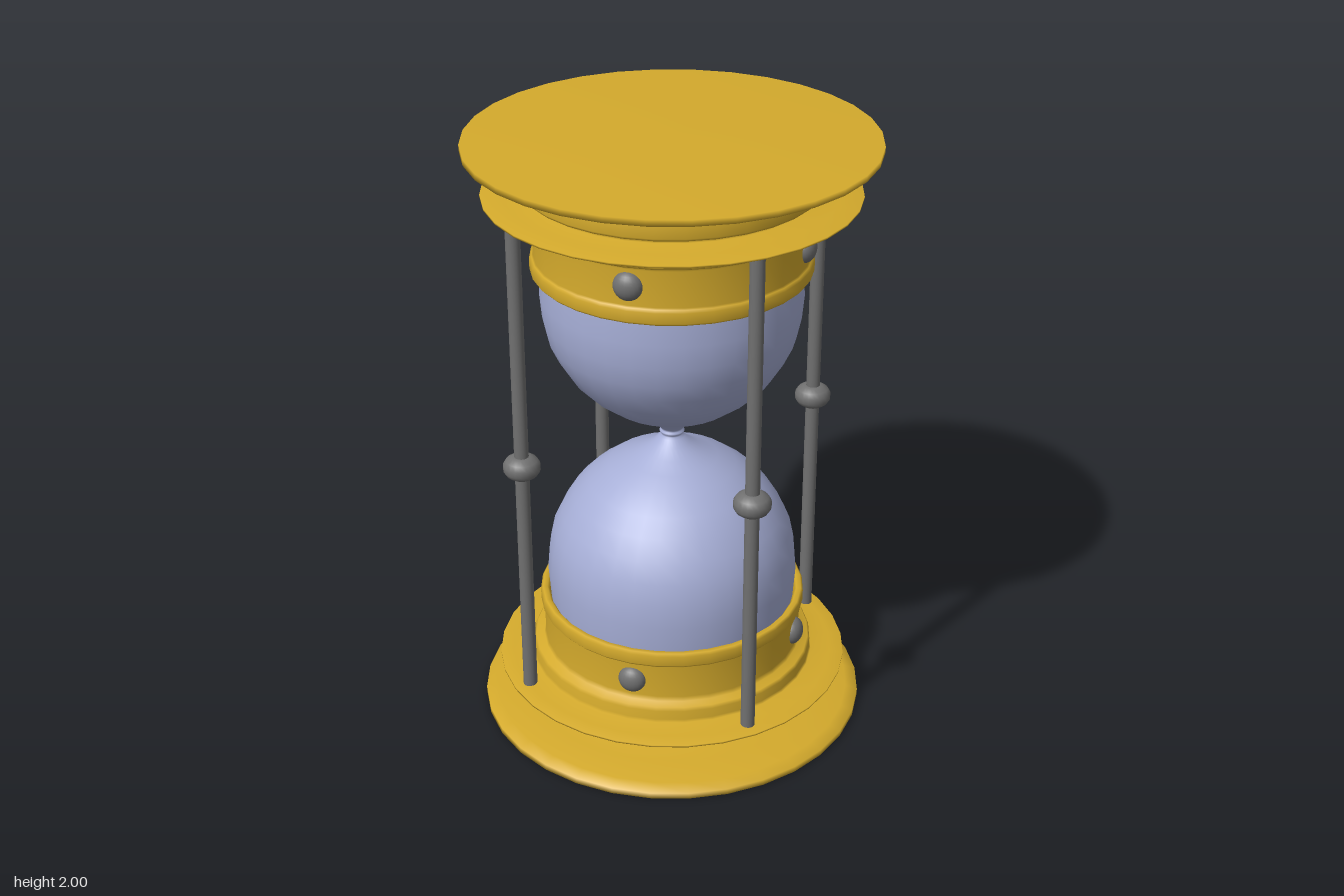
import * as THREE from 'three';

const gold = new THREE.MeshStandardMaterial({ color: 0xd4aa2c, side: THREE.DoubleSide });
const glassBlue = new THREE.MeshStandardMaterial({ color: 0xa6aed6, side: THREE.DoubleSide });
const iron = new THREE.MeshStandardMaterial({ color: 0x707070 });

const lathe = (points, segments = 32) =>
  new THREE.LatheGeometry(points.map(([r, y]) => new THREE.Vector2(r, y)), segments);

function add(parent, name, geometry, material, x = 0, y = 0, z = 0) {
  const mesh = new THREE.Mesh(geometry, material);
  mesh.name = name;
  mesh.position.set(x, y, z);
  parent.add(mesh);
  return mesh;
}

// One turned end with its four studs; y is measured from the hourglass middle
function createEnd(name) {
  const end = new THREE.Group();
  end.name = name;

  // Plate, moulding, flange, drum and lipped collar in one turned profile
  const profile = [
    [0, -1], [0.64, -0.998], [0.64, -0.978], [0.6, -0.965], [0.5, -0.955], [0.44, -0.952],
    [0.43, -0.945], [0.43, -0.92], [0.465, -0.915], [0.47, -0.905], [0.47, -0.868], [0.465, -0.86],
    [0.44, -0.856], [0.45, -0.848], [0.52, -0.842], [0.585, -0.836], [0.585, -0.83],
    [0.54, -0.825], [0.475, -0.82], [0.47, -0.812], [0.47, -0.78], [0.463, -0.77],
    [0.435, -0.765], [0.43, -0.75], [0.43, -0.635], [0.435, -0.63], [0.442, -0.622],
    [0.442, -0.588], [0.435, -0.58], [0.42, -0.58], [0.412, -0.59], [0.41, -0.64],
  ];
  add(end, 'turnedBase', lathe(profile), gold);

  // Flattened studs around the drum
  const studShape = new THREE.SphereGeometry(0.046, 20, 14);
  for (let i = 0; i < 4; i++) {
    const a = (i * Math.PI) / 2;
    const stud = add(end, 'stud', studShape, iron, 0.424 * Math.sin(a), -0.695, 0.424 * Math.cos(a));
    stud.rotation.y = a;
    stud.scale.z = 0.75;
  }
  return end;
}

export function createModel() {
  const model = new THREE.Group();
  model.name = 'hourglass';
  const body = new THREE.Group();
  body.name = 'body';
  body.position.y = 1;
  model.add(body);

  // Matching ends, the upper one turned over
  body.add(createEnd('lowerEnd'));
  const upper = createEnd('upperEnd');
  upper.rotation.x = Math.PI;
  body.add(upper);

  // Two glass bulbs meeting at a narrow ringed neck
  const half = [
    [0.4, -0.7], [0.408, -0.6], [0.415, -0.5], [0.408, -0.42], [0.393, -0.35], [0.365, -0.29],
    [0.325, -0.225], [0.275, -0.172], [0.21, -0.122], [0.15, -0.092], [0.1, -0.065],
    [0.06, -0.038], [0.042, -0.018], [0.035, -0.012], [0.035, -0.006], [0.04, -0.003],
  ];
  const bulbs = [...half, ...half.map(([r, y]) => [r, -y]).reverse()];
  add(body, 'glassBulbs', lathe(bulbs), glassBlue);

  // Four rods, each with a rounded bead at mid height
  const rodShape = new THREE.CylinderGeometry(0.023, 0.023, 1.66, 16);
  const beadShape = lathe([
    [0.02, -0.038], [0.032, -0.037], [0.05, -0.025], [0.059, -0.01],
    [0.059, 0.01], [0.05, 0.025], [0.032, 0.037], [0.02, 0.038],
  ], 20);
  for (const x of [-0.375, 0.375]) {
    for (const z of [-0.375, 0.375]) {
      add(body, 'rod', rodShape, iron, x, 0, z);
      add(body, 'rodBead', beadShape, iron, x, 0, z);
    }
  }
  return model;
}
